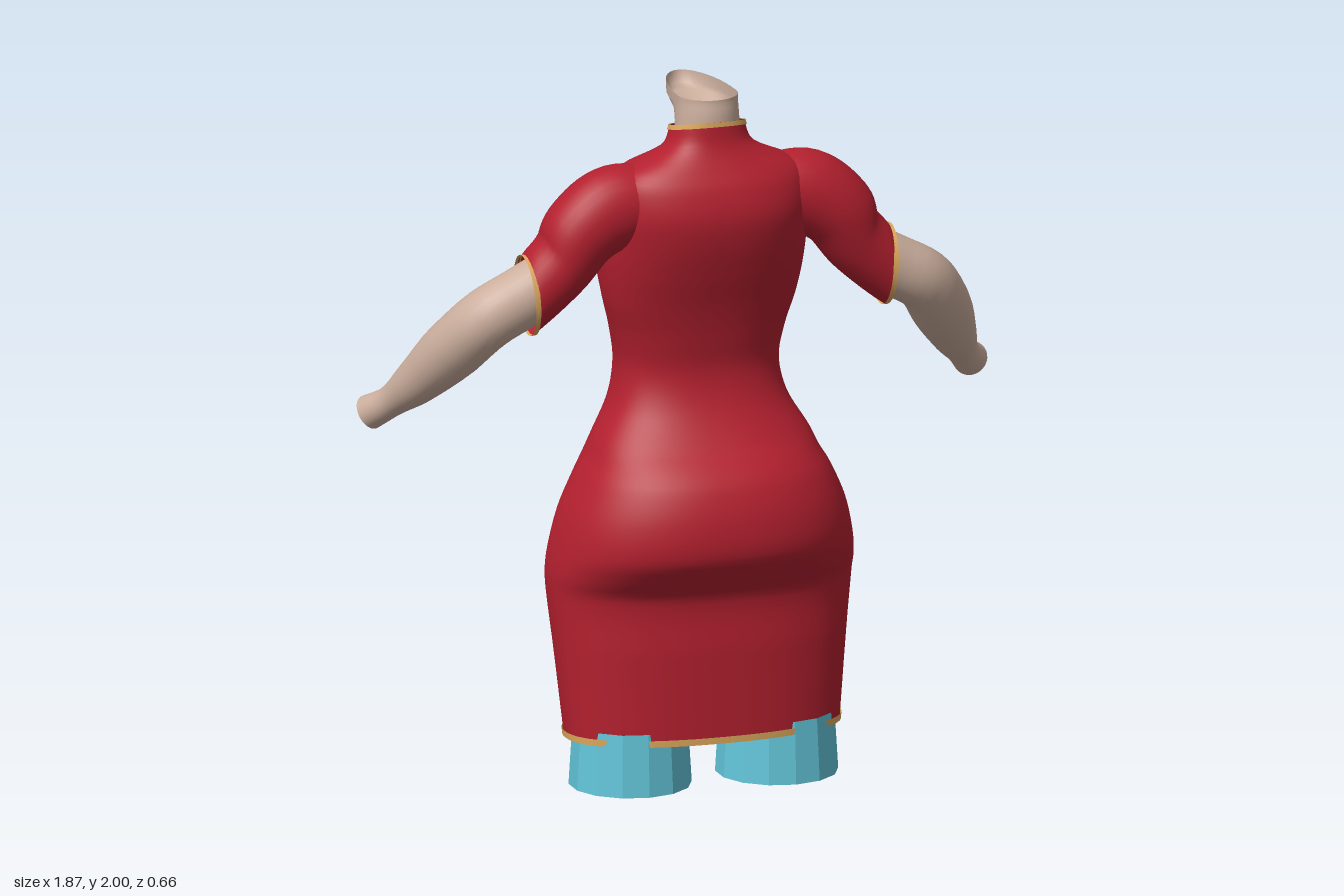
import * as THREE from 'three';
import { mergeVertices } from 'three/addons/utils/BufferGeometryUtils.js';

const mat = (name, color) => new THREE.MeshStandardMaterial({ name, color, side: THREE.DoubleSide });
const TAU = Math.PI * 2;
const lerp = THREE.MathUtils.lerp;

// Smooth surface from a rule fn(u, v) -> [x, y, z], u and v in 0..1
function grid(nu, nv, fn) {
  const pos = [], idx = [];
  for (let j = 0; j <= nv; j++)
    for (let i = 0; i <= nu; i++) pos.push(...fn(i / nu, j / nv));
  for (let j = 0; j < nv; j++)
    for (let i = 0; i < nu; i++) {
      const a = j * (nu + 1) + i, b = a + 1, c = a + nu + 1, d = c + 1;
      idx.push(a, c, b, b, c, d);
    }
  let g = new THREE.BufferGeometry();
  g.setAttribute('position', new THREE.Float32BufferAttribute(pos, 3));
  g.setIndex(idx);
  g = mergeVertices(g, 1e-4);
  g.computeVertexNormals();
  return g;
}

// Tapered round limb; rings are [x, y, z, radius, depthRadius]
function limb(rings, side, endNormal, nv = 24) {
  const path = new THREE.CatmullRomCurve3(rings.map(r => new THREE.Vector3(r[0], r[1], r[2])));
  const radii = new THREE.CatmullRomCurve3(rings.map(r => new THREE.Vector3(r[3], r[4] ?? r[3], 0)));
  return grid(28, nv, (u, t) => {
    const c = path.getPoint(t), r = radii.getPoint(t), n = path.getTangent(t);
    if (endNormal) n.lerp(endNormal, t ** 3).normalize();
    const ref = Math.abs(n.z) > 0.9 ? new THREE.Vector3(1, 0, 0) : new THREE.Vector3(0, 0, 1);
    const v = ref.addScaledVector(n, -n.dot(ref)).normalize();
    const w = new THREE.Vector3().crossVectors(n, v);
    c.addScaledVector(w, r.x * Math.cos(u * TAU)).addScaledVector(v, r.y * Math.sin(u * TAU));
    return [c.x * side, c.y, c.z];
  });
}

// Dress profile: [height, half width, chest-side z, back z, z of widest point]
const PROFILE = [
  [0.145, 0.40, -0.175, 0.21, 0.01], [0.40, 0.425, -0.205, 0.212, -0.01], [0.57, 0.443, -0.23, 0.215, -0.02],
  [0.63, 0.445, -0.225, 0.265, -0.02], [0.70, 0.435, -0.212, 0.318, -0.02], [0.80, 0.41, -0.21, 0.322, -0.01],
  [0.90, 0.365, -0.218, 0.292, 0], [0.95, 0.335, -0.236, 0.255, 0], [1.00, 0.312, -0.225, 0.205, 0],
  [1.10, 0.255, -0.238, 0.145, -0.02], [1.20, 0.234, -0.248, 0.122, -0.03], [1.30, 0.248, -0.25, 0.138, -0.02],
  [1.40, 0.274, -0.24, 0.165, 0], [1.50, 0.288, -0.23, 0.20, 0.02], [1.60, 0.292, -0.20, 0.23, 0.04],
  [1.68, 0.292, -0.155, 0.24, 0.06], [1.76, 0.28, -0.11, 0.222, 0.07], [1.80, 0.25, -0.08, 0.20, 0.07],
  [1.84, 0.18, -0.06, 0.178, 0.06], [1.88, 0.125, -0.05, 0.165, 0.06], [1.94, 0.102, -0.045, 0.16, 0.06],
];
function profile(y) {
  const P = PROFILE, n = P.length - 1;
  let k = 0;
  while (k < n - 1 && y > P[k + 1][0]) k++;
  const h = P[k + 1][0] - P[k][0], s = THREE.MathUtils.clamp((y - P[k][0]) / h, 0, 1);
  const slope = (i, c) => {
    const a = P[Math.max(0, i - 1)], b = P[Math.min(n, i + 1)];
    return (b[c] - a[c]) / (b[0] - a[0]);
  };
  return [1, 2, 3, 4].map(c => {
    const p = P[k][c], q = P[k + 1][c], s2 = s * s, s3 = s2 * s;
    return p * (2 * s3 - 3 * s2 + 1) + q * (3 * s2 - 2 * s3)
      + h * slope(k, c) * (s3 - 2 * s2 + s) + h * slope(k + 1, c) * (s3 - s2);
  });
}

// Point on the dress; angle a is 0 at the middle of the chest side
const POWER = 0.87;
const soft = t => Math.sign(t) * Math.abs(t) ** POWER;
function dress(a, y, off = 0) {
  const [w, f, b, c] = profile(y), s = Math.sin(a), k = Math.cos(a);
  let x = w * soft(s), z = k > 0 ? c + (f - c) * soft(k) : c - (b - c) * soft(k);
  if (k > 0) { // bust
    const dx = Math.abs(x) - 0.165, dy = y - 1.52;
    const bump = m => Math.exp(-m * m / (m > 0 ? 0.018 : 0.012) - dy * dy / (dy > 0 ? 0.013 : 0.009));
    z -= 0.13 * (bump(dx) + bump(-Math.abs(x) - 0.165)) * Math.min(1, k * 1.8);
  }
  const tilt = THREE.MathUtils.smoothstep(y, 1.78, 1.92);
  return [x + s * off, y + 0.25 * (z - 0.16) * tilt, z - k * off];
}
const angleAt = (x, y) => {
  const r = Math.min(1, Math.abs(x) / profile(y)[0]);
  return Math.sign(x) * Math.asin(r ** (1 / POWER));
};

// Slit: x of its two edges at a height
const slit = (y, dir) => angleAt(Math.min(0.13, 0.4 * profile(y)[0]) + dir * 0.09 * Math.max(0, (0.7 - y) / 0.55), y);
const around = (u, y) => lerp(slit(y, 1), slit(y, -1) + TAU, u);

// Flat ribbon laid on the chest side along [x, y, half width] points
function ribbon(points, steps) {
  const curve = new THREE.CatmullRomCurve3(points.map(p => new THREE.Vector3(...p)));
  return grid(6, steps, (u, t) => {
    const p = curve.getPoint(t), d = curve.getTangent(t), l = Math.hypot(d.x, d.y), k = (u * 2 - 1) * p.z / l;
    const y = p.y + d.x * k;
    return dress(angleAt(p.x - d.y * k, y), y, 0.007);
  });
}

export function createModel() {
  const model = new THREE.Group();
  const red = mat('red cloth', 0xb4202f), skin = mat('skin', 0xcbae9d), blue = mat('blue stocking', 0x62c5d9);
  const gold = mat('gold trim', 0xdca85c), bronze = mat('bronze pattern', 0xb9773a);
  const add = (name, geometry, material) => {
    const m = new THREE.Mesh(geometry, material);
    m.name = name;
    model.add(m);
    return m;
  };

  // Dress with its slit, hem, collar and edging
  add('dress', grid(112, 110, (u, v) => { const y = lerp(0.145, 1.94, v); return dress(around(u, y), y); }), red);
  add('hemTrim', grid(96, 1, (u, v) => { const y = lerp(0.143, 0.162, v); return dress(around(u, y), y, 0.004); }), gold);
  add('collarTrim', grid(48, 1, (u, v) => dress(u * TAU, lerp(1.927, 1.941, v), 0.004)), gold);
  for (const dir of [1, -1])
    add('slitTrim', grid(1, 24, (u, v) => {
      const y = lerp(0.145, 0.71, v);
      return dress(slit(y, dir) + dir * u * 0.035, y, 0.004);
    }), gold);

  // Winding pattern and small waist marks
  add('windingPattern', ribbon([
    [-0.10, 1.71, 0.035], [-0.13, 1.64, 0.068], [-0.165, 1.54, 0.055], [-0.15, 1.44, 0.05], [-0.03, 1.40, 0.05],
    [0.10, 1.36, 0.05], [0.11, 1.26, 0.055], [0, 1.15, 0.055], [-0.11, 1.07, 0.055], [-0.135, 0.97, 0.05],
    [-0.03, 0.90, 0.045], [0.075, 0.84, 0.045], [0.08, 0.73, 0.045], [-0.01, 0.64, 0.042], [-0.06, 0.53, 0.035],
    [-0.04, 0.43, 0.022], [-0.02, 0.36, 0.006]], 140), bronze);
  add('waistMark', ribbon([[0.27, 0.96, 0.007], [0.25, 0.92, 0.011], [0.235, 0.87, 0.007]], 8), gold);
  add('waistMark', ribbon([[-0.13, 0.94, 0.008], [-0.18, 0.945, 0.008], [-0.215, 0.94, 0.018]], 8), gold);

  // Neck with the open jaw: [back y, front y, half width, front z, back z]
  const neck = [[1.88, 1.84, 0.094, -0.03, 0.15], [1.95, 1.91, 0.09, -0.036, 0.152], [1.975, 1.945, 0.088, -0.075, 0.147],
    [1.99, 1.955, 0.087, -0.15, 0.145], [1.995, 1.965, 0.087, -0.19, 0.145], [2.0, 2.0, 0.087, -0.195, 0.145]];
  add('neck', grid(40, neck.length - 1, (u, v) => {
    const [yb, yf, w, zf, zb] = neck[Math.round(v * (neck.length - 1))];
    const a = u * TAU, k = Math.cos(a);
    const z = k > 0 ? 0.06 + (zf - 0.06) * k : 0.06 - (zb - 0.06) * k;
    return [w * Math.sin(a), lerp(yb, yf, THREE.MathUtils.smoothstep(k, -1, 1)), z];
  }), skin);

  // Arms, sleeves and legs, mirrored
  const cuffNormal = new THREE.Vector3(1, -0.08, 0);
  for (const side of [1, -1]) {
    add('sleeve', limb([[0.17, 1.71, 0.07, 0.10], [0.29, 1.69, 0.07, 0.122, 0.108], [0.375, 1.635, 0.07, 0.112, 0.108],
      [0.44, 1.54, 0.06, 0.103, 0.102], [0.53, 1.455, 0.055, 0.114, 0.093]], side, cuffNormal), red);
    add('cuffTrim', limb([[0.522, 1.456, 0.055, 0.117, 0.096], [0.537, 1.455, 0.055, 0.117, 0.096]], side, cuffNormal, 1), gold);
    add('forearm', limb([[0.46, 1.50, 0.06, 0.085], [0.55, 1.45, 0.058, 0.088, 0.085], [0.645, 1.395, 0.045, 0.088],
      [0.72, 1.295, -0.03, 0.088, 0.085], [0.80, 1.17, -0.14, 0.064], [0.85, 1.10, -0.215, 0.045],
      [0.89, 1.06, -0.27, 0.05]], side), skin);
    add('leg', limb([[0.215, 0.06, 0.02, 0.15], [0.215, 0.45, 0.005, 0.172], [0.20, 0.82, 0.01, 0.165]], side), skin);
    const tube = new THREE.CylinderGeometry(0.163, 0.174, 0.18, 14, 1, true).toNonIndexed();
    tube.computeVertexNormals();
    add('stocking', tube, blue).position.set(0.217 * side, 0.09, 0.027);
  }
  return model;
}
